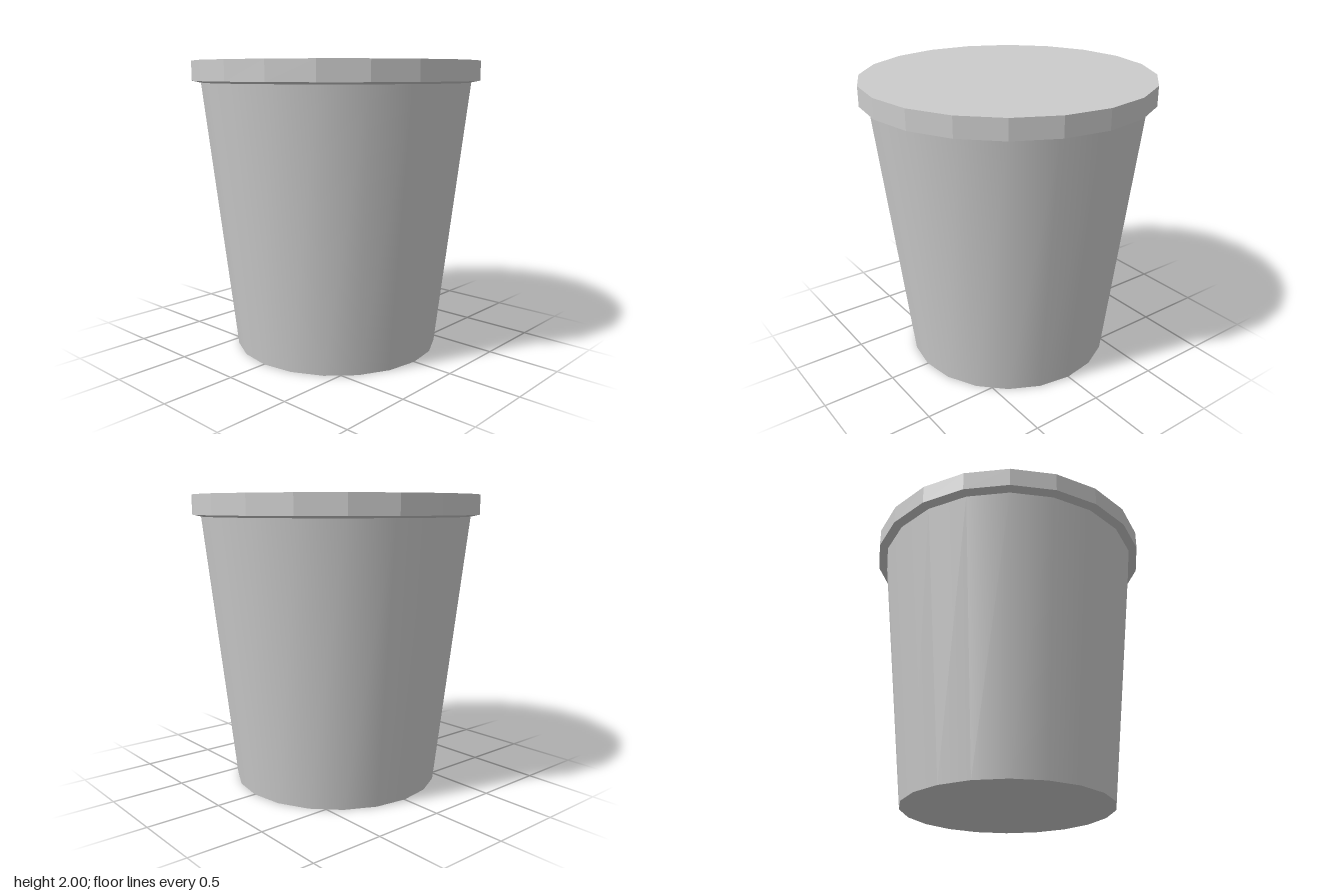
import * as THREE from 'three';

const SIDES = 20;

// Tapered ring or solid between two heights
function taper(name, rTop, rBottom, y0, y1, open, flat) {
  const geo = new THREE.CylinderGeometry(rTop, rBottom, y1 - y0, SIDES, 1, open);
  const mat = new THREE.MeshStandardMaterial({ color: 0xcccccc, flatShading: flat });
  const mesh = new THREE.Mesh(geo, mat);
  mesh.name = name;
  mesh.position.y = (y0 + y1) / 2;
  return mesh;
}

// Flat disc facing up or down
function disc(name, radius, y, up) {
  const geo = new THREE.CircleGeometry(radius, SIDES);
  geo.rotateX(up ? -Math.PI / 2 : Math.PI / 2);
  const mesh = new THREE.Mesh(geo, new THREE.MeshStandardMaterial({ color: 0xcccccc }));
  mesh.name = name;
  mesh.position.y = y;
  return mesh;
}

export function createModel() {
  const model = new THREE.Group();
  model.name = 'liddedTub';

  // Smooth tapered cup wall with a flat base
  const cup = new THREE.Group();
  cup.name = 'cup';
  cup.add(
    taper('cupWall', 0.925, 0.715, 0, 1.855, true, false),
    disc('cupBase', 0.715, 0, false)
  );

  // Faceted lid: top, rim and sloping underside meeting the cup
  const lid = new THREE.Group();
  lid.name = 'lid';
  lid.add(
    disc('lidTop', 0.985, 2, true),
    taper('lidRim', 0.985, 0.985, 1.868, 2, true, true),
    taper('lidUnderside', 0.985, 0.925, 1.855, 1.868, true, true)
  );

  model.add(cup, lid);
  return model;
}
